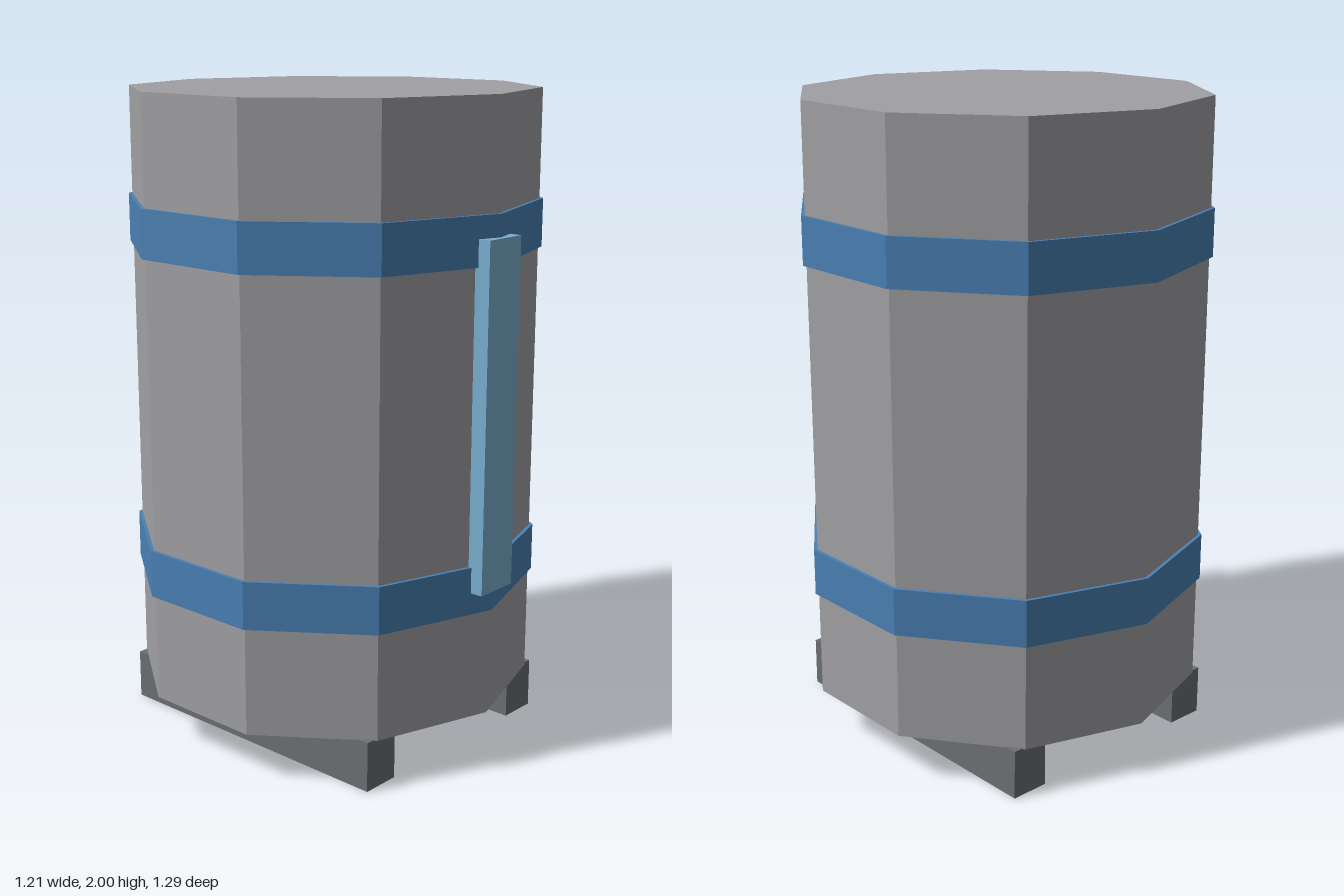
import * as THREE from 'three';

export function createModel() {
  const model = new THREE.Group();
  const material = (name, color) => {
    const m = new THREE.MeshStandardMaterial({ color, flatShading: true });
    m.name = name;
    return m;
  };
  const bodyGrey = material('body grey', 0xa0a0a4);
  const bandBlue = material('band blue', 0x4a80b4);
  const gaugeBlue = material('gauge light blue', 0x78aecf);
  const skidGrey = material('skid dark grey', 0x6a6f72);

  const add = (name, geometry, mat, x, y, z) => {
    const mesh = new THREE.Mesh(geometry, mat);
    mesh.name = name;
    mesh.position.set(x, y, z);
    model.add(mesh);
  };
  const centreZ = -0.008;
  const drum = (radius, height) => new THREE.CylinderGeometry(radius, radius, height, 10);

  // Ten-sided tank body
  add('tankBody', drum(0.626, 1.848), bodyGrey, 0, 1.076, centreZ);

  // Two raised bands around the tank
  add('lowerBand', drum(0.637, 0.147), bandBlue, 0, 0.561, centreZ);
  add('upperBand', drum(0.637, 0.147), bandBlue, 0, 1.598, centreZ);

  // Upright gauge strip on the front
  add('gaugeStrip', new THREE.BoxGeometry(0.146, 1.05, 0.05), gaugeBlue, 0, 1.08, 0.62);

  // Pair of skids running front to back
  for (const side of [-1, 1]) {
    add(side > 0 ? 'leftSkid' : 'rightSkid',
      new THREE.BoxGeometry(0.123, 0.155, 1), skidGrey, side * 0.343, 0.0775, centreZ);
  }
  return model;
}
